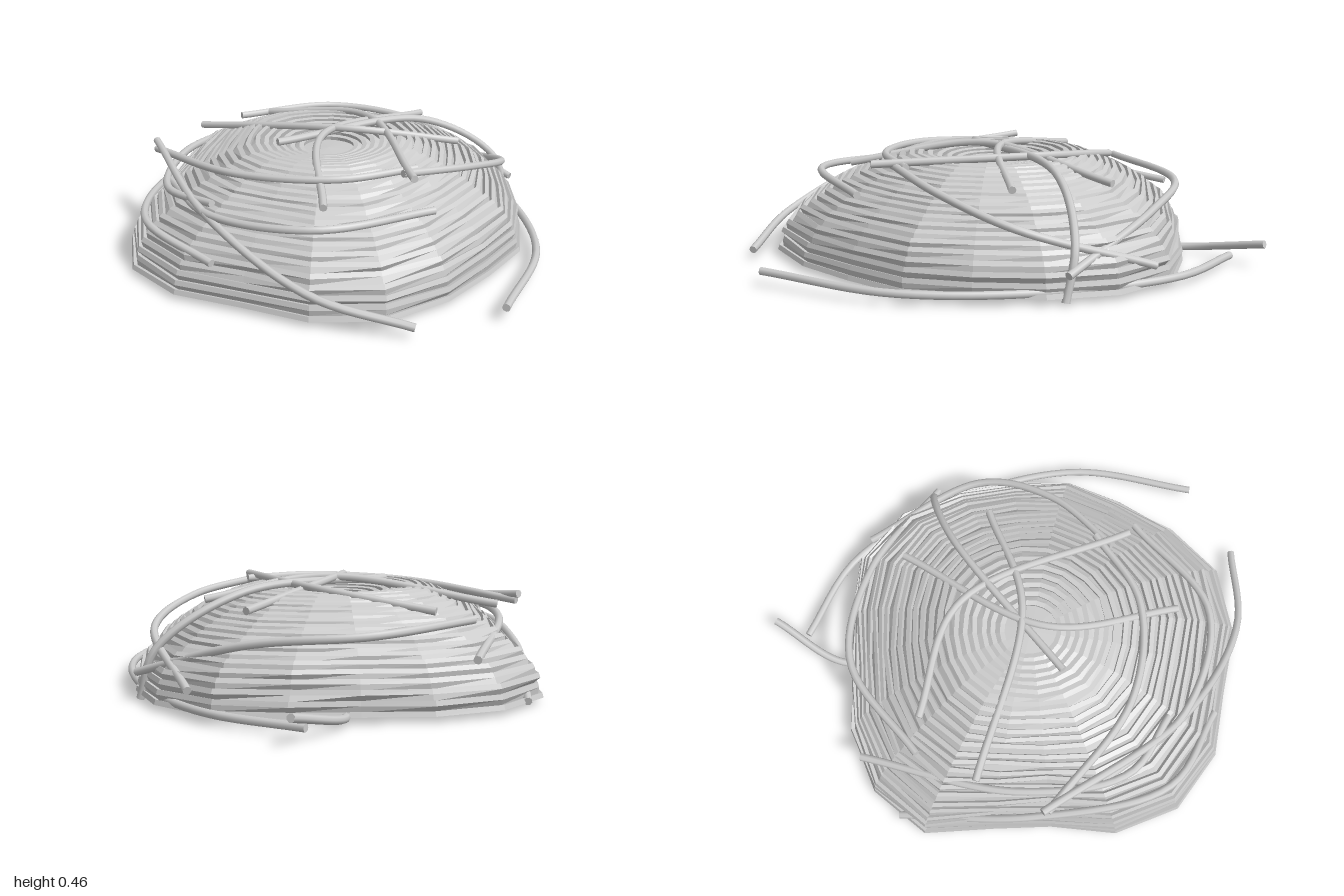
import * as THREE from 'three';

const CENTRE_Z = -0.1;
const SIDES = 20;

// radius of the uneven base outline, every 18 degrees from +x towards +z
const OUTLINE = [0.91, 0.87, 0.84, 0.86, 0.84, 0.88, 0.93, 0.91, 0.86, 0.91,
  0.92, 0.86, 0.76, 0.78, 0.9, 0.9, 0.85, 0.8, 0.83, 0.91];

// mean radius and height, from the base up over the dome to the shallow dip
const PROFILE = [[0.87, 0.03], [0.84, 0.12], [0.78, 0.2], [0.68, 0.275],
  [0.59, 0.325], [0.45, 0.385], [0.33, 0.41], [0.13, 0.375]];

// start, bends and end of each loose twig
const TWIGS = [
  [[0.86, 0.11, -0.84], [0.52, 0.035, -0.72], [0.33, 0.05, -0.35]],
  [[0.1, 0.07, 0.98], [0.54, 0.055, 0.65], [0.79, 0.05, 0.18], [0.88, 0.05, -0.38], [0.74, 0.045, -0.77]],
  [[0.04, 0.41, 0.4], [0.4, 0.36, 0.38], [0.7, 0.27, 0.22], [0.88, 0.11, -0.28]],
  [[0.845, 0.015, 0.1], [0.81, 0.21, 0.04], [0.5, 0.41, -0.08], [-0.23, 0.43, -0.13]],
  [[0.61, 0.37, -0.27], [-0.05, 0.45, -0.06], [-0.34, 0.36, 0.42]],
  [[-0.32, 0.36, -0.68], [0.07, 0.45, -0.08], [0.52, 0.37, 0.13]],
  [[0.03, 0.36, -0.68], [0.27, 0.43, -0.25], [0.03, 0.42, 0.49]],
  [[-0.07, 0.33, -0.78], [0.42, 0.31, -0.73], [0.7, 0.27, -0.4], [0.86, 0.12, 0.1]],
  [[0.1, 0.22, -0.95], [-0.45, 0.29, -0.58], [-0.7, 0.3, -0.2], [-0.64, 0.32, 0.08]],
  [[-0.15, 0.04, -0.98], [-0.55, 0.17, -0.59], [-0.84, 0.22, -0.1], [-0.74, 0.17, 0.27]],
  [[-0.59, 0.37, -0.57], [-0.68, 0.29, 0.12], [-0.53, 0.14, 0.63], [-0.25, 0.055, 0.9]],
  [[0.07, 0.31, 0.57], [-0.43, 0.33, 0.52], [-0.67, 0.3, 0.15], [-0.65, 0.29, -0.3]],
  [[0.12, 0.41, 0.38], [-0.22, 0.41, 0.31], [-0.5, 0.39, 0], [-0.6, 0.34, -0.55]],
];

function seeded(seed) {
  return () => {
    seed = (seed * 16807) % 2147483647;
    return seed / 2147483647;
  };
}

// Coiled shell: stepped rings whose outline evens out towards the top
function createCoils() {
  const random = seeded(11);
  const curve = new THREE.SplineCurve(PROFILE.map(([r, y]) => new THREE.Vector2(r, y)));
  const layers = 24;
  const position = [];
  const index = [];
  let rings = 0;

  const addRing = (r, y, jitter) => {
    for (let i = 0; i < SIDES; i++) {
      const a = (i / SIDES) * Math.PI * 2;
      const uneven = THREE.MathUtils.lerp(1, OUTLINE[i] / 0.88, Math.min(1, r / 0.88));
      const radius = r * uneven + jitter[i];
      position.push(Math.cos(a) * radius, y, CENTRE_Z + Math.sin(a) * radius);
    }
    rings++;
  };

  for (let k = 0; k < layers; k++) {
    const p = curve.getPointAt(k / (layers - 1));
    const t = curve.getTangentAt(k / (layers - 1));
    const amount = k === 0 ? 0 : 0.024 * p.x;
    const jitter = OUTLINE.map(() => (random() - 0.5) * amount);
    // every coil has an outer lip, a band and a groove behind it
    const lip = 0.008;
    const band = 0.02;
    addRing(p.x + t.y * lip, p.y - t.x * lip, jitter);
    addRing(p.x + t.y * lip + t.x * band, p.y - t.x * lip + t.y * band, jitter);
    addRing(p.x - t.y * lip + t.x * band, p.y + t.x * lip + t.y * band, jitter);
  }
  for (let k = 0; k < rings - 1; k++) {
    for (let i = 0; i < SIDES; i++) {
      const a = k * SIDES + i, b = k * SIDES + ((i + 1) % SIDES);
      const c = a + SIDES, d = b + SIDES;
      index.push(a, c, b, b, c, d);
    }
  }
  // flat centre
  const hub = rings * SIDES;
  position.push(0, 0.37, CENTRE_Z);
  for (let i = 0; i < SIDES; i++) {
    index.push(hub - SIDES + i, hub, hub - SIDES + ((i + 1) % SIDES));
  }

  const geometry = new THREE.BufferGeometry();
  geometry.setAttribute('position', new THREE.Float32BufferAttribute(position, 3));
  geometry.setIndex(index);
  geometry.computeVertexNormals();
  return geometry;
}

// Twig: a round bent tube with closed ends
function createTwig(points, material) {
  const radius = 0.016;
  const curve = new THREE.CatmullRomCurve3(points.map((p) => new THREE.Vector3(...p)));
  const twig = new THREE.Group();
  const stem = new THREE.Mesh(new THREE.TubeGeometry(curve, 32, radius, 8), material);
  stem.name = 'twigStem';
  twig.add(stem);
  for (const end of [0, 1]) {
    const cap = new THREE.Mesh(new THREE.CircleGeometry(radius, 8), material);
    const outward = curve.getTangentAt(end).multiplyScalar(end ? 1 : -1);
    cap.name = 'twigEnd';
    cap.position.copy(curve.getPointAt(end));
    cap.quaternion.setFromUnitVectors(new THREE.Vector3(0, 0, 1), outward);
    twig.add(cap);
  }
  return twig;
}

export function createModel() {
  const model = new THREE.Group();
  model.name = 'nest';

  const coils = new THREE.Mesh(createCoils(), new THREE.MeshStandardMaterial({
    color: 0xcccccc, flatShading: true, side: THREE.DoubleSide,
  }));
  coils.name = 'coiledShell';
  model.add(coils);

  const twigMaterial = new THREE.MeshStandardMaterial({ color: 0xcccccc });
  TWIGS.forEach((points, i) => {
    const twig = createTwig(points, twigMaterial);
    twig.name = `twig${i + 1}`;
    model.add(twig);
  });
  return model;
}
